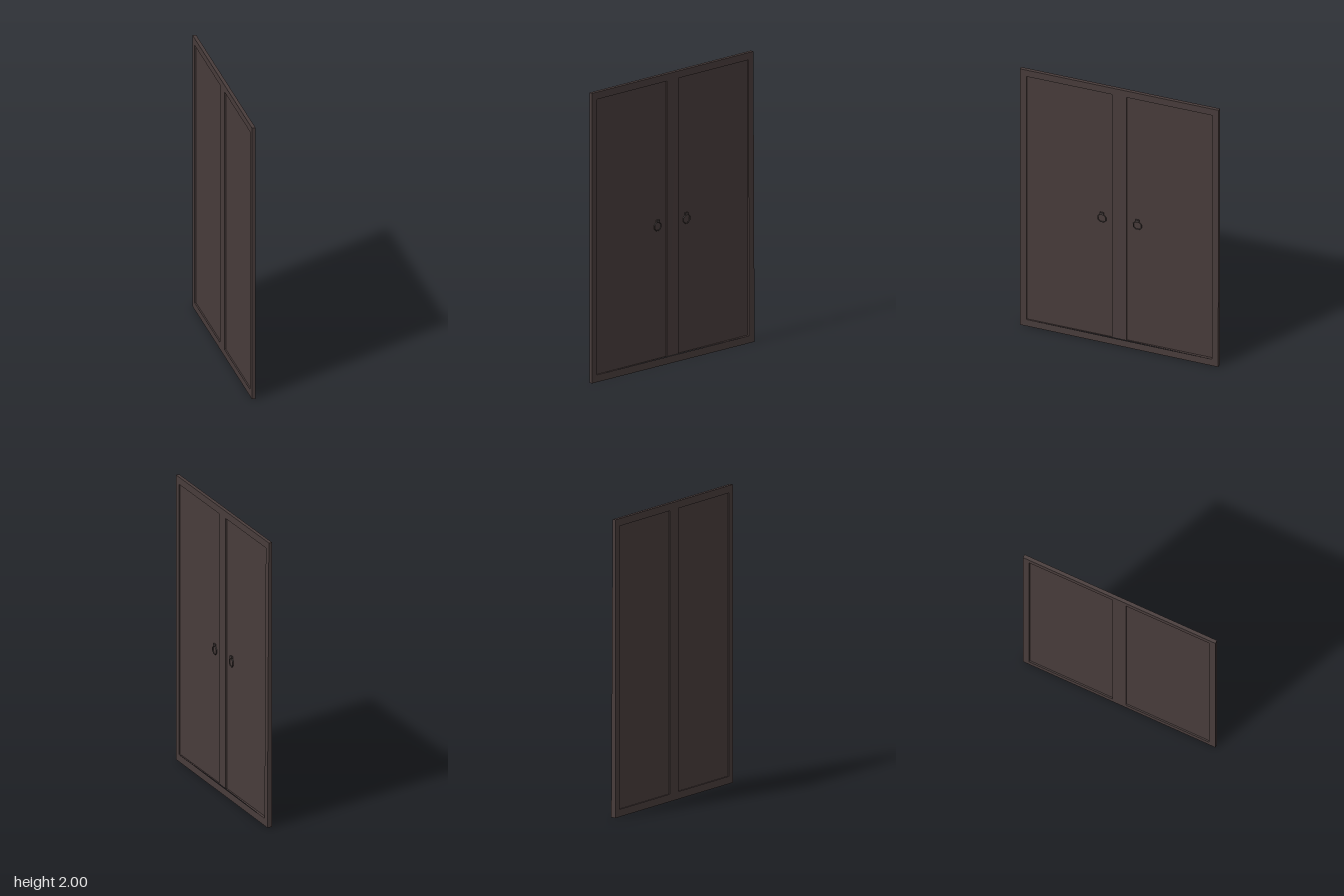
import * as THREE from 'three';

const wood = new THREE.MeshStandardMaterial({ color: 0x483c3b });
wood.name = 'dark brown wood';
const iron = new THREE.MeshStandardMaterial({ color: 0x3b3433, flatShading: true });
iron.name = 'dark iron';

const HALF_W = 0.7, HEIGHT = 2;
const BACK = -0.0175, FRONT = 0.0065, CORNER_LIFT = 0.011;
const HOLE_IN = 0.05, HOLE_OUT = 0.655, HOLE_LOW = 0.05, HOLE_HIGH = 1.95;

function part(name, geometry, material, x = 0, y = 0, z = 0) {
  const mesh = new THREE.Mesh(geometry, material);
  mesh.name = name;
  mesh.position.set(x, y, z);
  return mesh;
}

// Frame with one tall opening per door leaf
function frameGeometry() {
  const shape = new THREE.Shape([
    [-HALF_W, 0], [0, 0], [HALF_W, 0], [HALF_W, HEIGHT], [0, HEIGHT], [-HALF_W, HEIGHT],
  ].map(([x, y]) => new THREE.Vector2(x, y)));
  for (const s of [-1, 1]) {
    shape.holes.push(new THREE.Path([
      [HOLE_IN, HOLE_LOW], [HOLE_IN, HOLE_HIGH], [HOLE_OUT, HOLE_HIGH], [HOLE_OUT, HOLE_LOW],
    ].map(([x, y]) => new THREE.Vector2(s * x, y))));
  }
  const geometry = new THREE.ExtrudeGeometry(shape, { depth: FRONT - BACK, bevelEnabled: false });
  // The handle face warps slightly outward toward one lower corner
  const p = geometry.attributes.position;
  for (let i = 0; i < p.count; i++) {
    if (p.getZ(i) > 0.01) {
      const across = Math.max(0, p.getX(i) / HALF_W);
      p.setZ(i, p.getZ(i) + CORNER_LIFT * across * (1 - p.getY(i) / HEIGHT));
    }
  }
  geometry.computeVertexNormals();
  geometry.rotateY(Math.PI / 2);
  return geometry;
}

// Ring pull hanging from a small mount
function ringHandle(side) {
  const handle = new THREE.Group();
  handle.name = side > 0 ? 'leftHandle' : 'rightHandle';
  const ring = new THREE.TorusGeometry(0.03, 0.004, 5, 8);
  ring.rotateZ(Math.PI / 8);
  ring.rotateY(Math.PI / 2);
  handle.add(part('ring', ring, iron, 0.002, 0.963, 0));
  handle.add(part('ringMount', new THREE.BoxGeometry(0.011, 0.018, 0.026), iron, 0.0015, 0.999, 0));
  handle.position.z = side * 0.125;
  return handle;
}

export function createModel() {
  const model = new THREE.Group();
  model.name = 'doubleDoor';
  model.add(part('frame', frameGeometry(), wood, BACK));

  // Thin recessed panel and handle for each leaf
  for (const side of [1, -1]) {
    const panel = new THREE.BoxGeometry(0.005, HOLE_HIGH - HOLE_LOW, HOLE_OUT - HOLE_IN);
    model.add(part(side > 0 ? 'leftPanel' : 'rightPanel', panel, wood,
      -0.0055, (HOLE_HIGH + HOLE_LOW) / 2, side * (HOLE_IN + HOLE_OUT) / 2));
    model.add(ringHandle(side));
  }
  return model;
}
